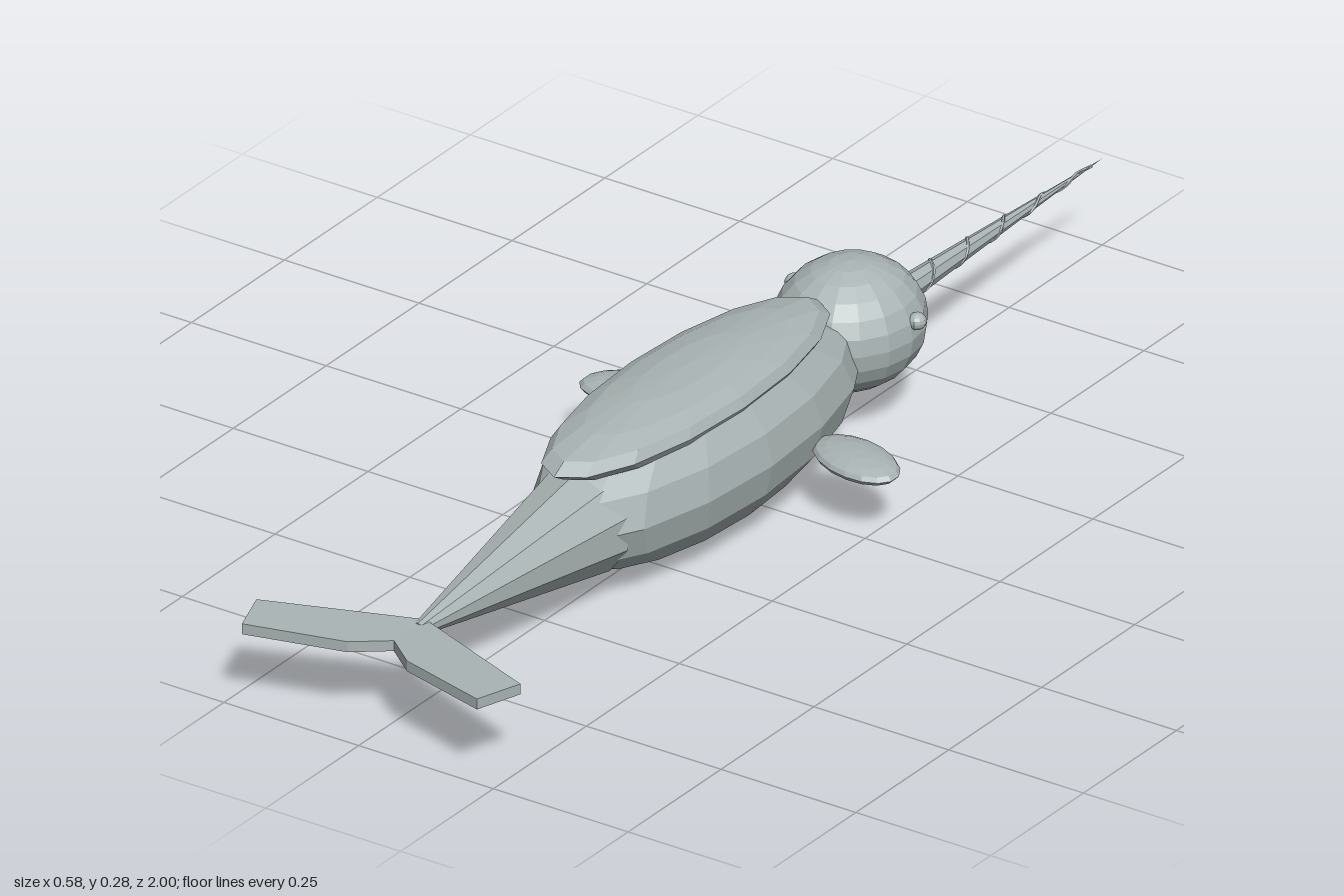
import * as THREE from 'three';

const skin = new THREE.MeshStandardMaterial({ color: 0xaab4b4 });
skin.name = 'grey skin';

// Faceted mesh: unshared corners give each face its own normal
function part(name, geometry, x = 0, y = 0, z = 0) {
  const g = geometry.index ? geometry.toNonIndexed() : geometry;
  g.computeVertexNormals();
  const mesh = new THREE.Mesh(g, skin);
  mesh.name = name;
  mesh.position.set(x, y, z);
  return mesh;
}

function ellipsoid(rx, ry, rz, across, rows) {
  return new THREE.SphereGeometry(1, across, rows).scale(rx, ry, rz);
}

export function createModel() {
  const whale = new THREE.Group();
  whale.name = 'tuskedWhale';

  // Body, back patch and head
  whale.add(part('body', ellipsoid(0.147, 0.137, 0.4, 16, 8), 0, 0.14, 0.1));
  whale.add(part('backPatch', ellipsoid(0.11, 0.041, 0.355, 16, 8), 0, 0.239, 0.12));
  whale.add(part('head', ellipsoid(0.117, 0.105, 0.129, 16, 12), 0, 0.165, -0.321));

  // Tapered tail stem
  const stem = new THREE.CylinderGeometry(0.011, 0.09, 0.44, 10).rotateX(Math.PI / 2);
  whale.add(part('tailStem', stem, 0, 0.134, 0.62));

  // Flukes: a flat notched outline, tips slightly raised
  const outline = new THREE.Shape([
    [0, 0.82], [0.245, 0.92], [0.218, 0.998], [0.055, 0.95], [0, 0.905],
    [-0.055, 0.95], [-0.218, 0.998], [-0.245, 0.92],
  ].map(([x, z]) => new THREE.Vector2(x, z)));
  const flukes = new THREE.ExtrudeGeometry(outline, { depth: 0.018, bevelEnabled: false });
  flukes.rotateX(Math.PI / 2);
  const p = flukes.attributes.position;
  for (let i = 0; i < p.count; i++) p.setY(i, p.getY(i) + 0.02 * Math.abs(p.getX(i)));
  whale.add(part('flukes', flukes, 0, 0.143, 0));

  // Flippers and eyes, mirrored
  for (const side of [1, -1]) {
    const name = side > 0 ? 'left' : 'right';
    const flipper = part(name + 'Flipper', ellipsoid(0.089, 0.018, 0.052, 16, 8), side * 0.205, 0.107, -0.042);
    flipper.rotation.y = -side * 0.33;
    whale.add(flipper);
    whale.add(part(name + 'Eye', ellipsoid(0.015, 0.014, 0.016, 10, 8), side * 0.114, 0.192, -0.337));
  }

  // Mouth crease following the lower front of the head
  const mouthPoints = [];
  for (let i = 0; i <= 10; i++) {
    const a = (i / 10 - 0.5) * 1.3;
    mouthPoints.push(new THREE.Vector3(0.1 * Math.sin(a), 0.108 + 0.02 * a * a, -0.321 - 0.108 * Math.cos(a)));
  }
  const mouthCurve = new THREE.CatmullRomCurve3(mouthPoints);
  whale.add(part('mouth', new THREE.TubeGeometry(mouthCurve, 12, 0.004, 5)));

  // Long tusk with a spiral ridge wound around it
  const tusk = new THREE.Group();
  tusk.name = 'tusk';
  tusk.position.set(0, 0.156, -0.42);
  tusk.rotation.x = -0.007;
  const length = 0.58;
  const cone = new THREE.ConeGeometry(0.023, length, 8).rotateX(-Math.PI / 2);
  tusk.add(part('tuskCone', cone, 0, 0, -length / 2));
  const spiral = [];
  for (let i = 0; i <= 60; i++) {
    const t = i / 60 * 0.95;
    const r = 0.0215 * (1 - t);
    const a = t * Math.PI * 12;
    spiral.push(new THREE.Vector3(r * Math.cos(a), r * Math.sin(a), -length * t));
  }
  tusk.add(part('tuskRidge', new THREE.TubeGeometry(new THREE.CatmullRomCurve3(spiral), 100, 0.0028, 5)));
  whale.add(tusk);

  return whale;
}
